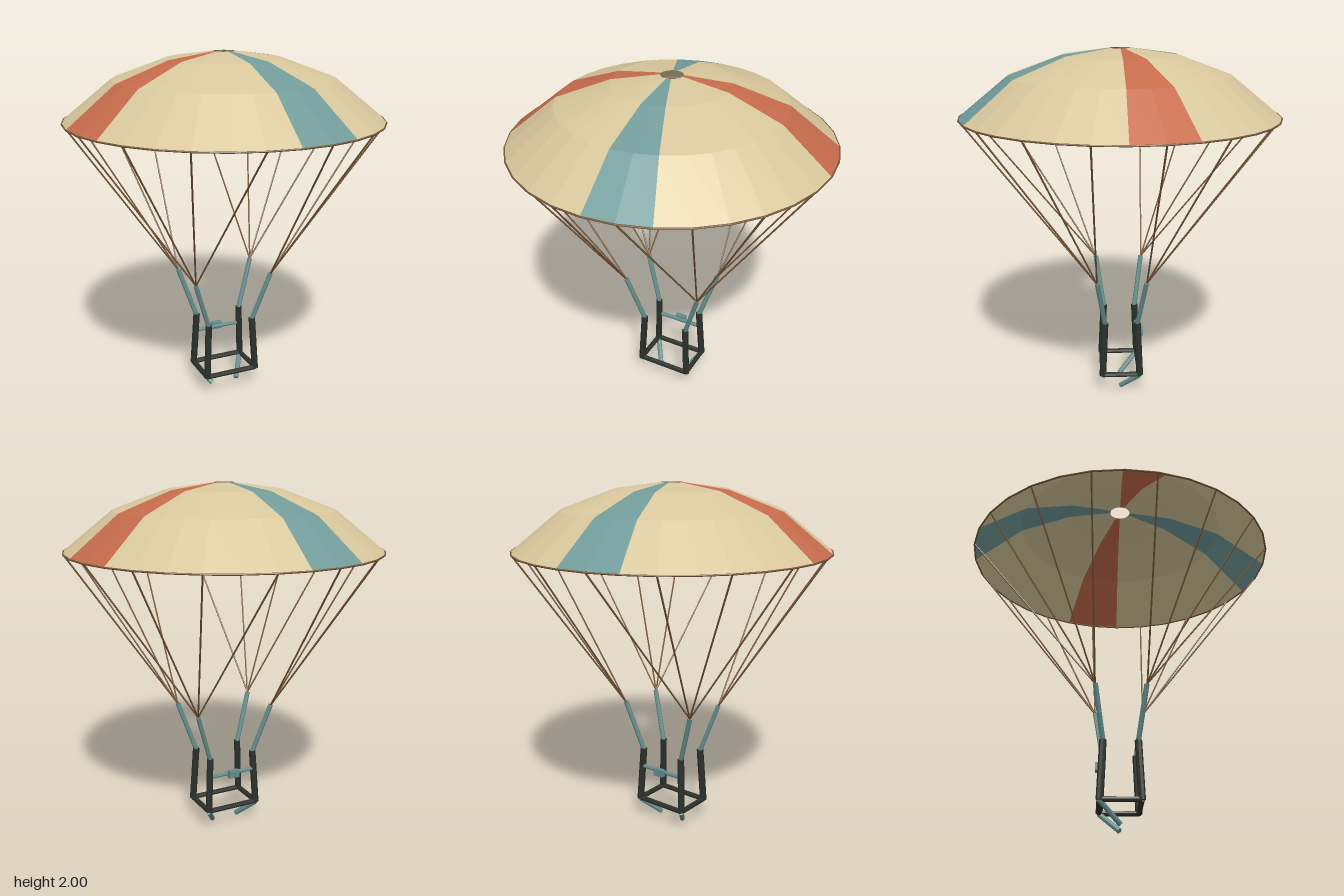
import * as THREE from 'three';

const mat = (name, color, extra = {}) => {
  const m = new THREE.MeshStandardMaterial({ color, flatShading: true, ...extra });
  m.name = name;
  return m;
};

export function createModel() {
  const model = new THREE.Group();
  model.name = 'parachute';

  const open = { side: THREE.DoubleSide };
  const cream = mat('cream cloth', 0xd8c79c, open);
  const teal = mat('teal cloth', 0x719b9a, open);
  const red = mat('red cloth', 0xc66b4c, open);
  const webbing = mat('teal webbing', 0x648c8b);
  const dark = mat('dark harness', 0x2b302a);
  const cord = mat('brown cord', 0x76573a);

  const add = (parent, name, geometry, material) => {
    const mesh = new THREE.Mesh(geometry, material);
    mesh.name = name;
    parent.add(mesh);
    return mesh;
  };
  const group = (name) => {
    const g = new THREE.Group();
    g.name = name;
    model.add(g);
    return g;
  };
  // Straight round bar between two points
  const bar = (parent, name, from, to, radius, material, sides = 8) => {
    const a = new THREE.Vector3(...from), b = new THREE.Vector3(...to);
    const dir = b.clone().sub(a);
    const mesh = add(parent, name, new THREE.CylinderGeometry(radius, radius, dir.length(), sides), material);
    mesh.position.copy(a).add(b).multiplyScalar(0.5);
    mesh.quaternion.setFromUnitVectors(new THREE.Vector3(0, 1, 0), dir.normalize());
  };

  // Canopy: each quarter has one striped gore and a wide cream panel
  const canopy = group('canopy');
  const profile = [[0.88, 1.635], [0.61, 1.853], [0.315, 1.962], [0.06, 1.998]]
    .map(([r, y]) => new THREE.Vector2(r, y));
  const step = Math.PI / 16;
  for (let q = 0; q < 4; q++) {
    const start = q * Math.PI / 2;
    add(canopy, 'stripeGore', new THREE.LatheGeometry(profile, 2, start, 2 * step), q % 2 ? red : teal);
    add(canopy, 'creamGores', new THREE.LatheGeometry(profile, 6, start + 2 * step, 6 * step), cream);
  }
  const hem = add(canopy, 'hemCord', new THREE.TorusGeometry(0.878, 0.005, 6, 32), cord);
  hem.rotation.x = Math.PI / 2;
  hem.position.y = 1.635;

  // Suspension lines: sixteen, gathered in fours at the risers
  const lines = group('suspensionLines');
  for (let i = 0; i < 16; i++) {
    const a = (2 * i + 1) * step;
    const x = Math.sin(a), z = Math.cos(a);
    bar(lines, 'suspensionLine', [0.875 * x, 1.635, 0.875 * z],
      [0.235 * Math.sign(x), 0.73, 0.14 * Math.sign(z)], 0.005, cord, 5);
  }

  // Harness: risers, uprights, seat frame, chest strap and leg straps
  const harness = group('harness');
  for (const sx of [-1, 1]) {
    for (const sz of [-1, 1]) {
      bar(harness, 'riser', [0.235 * sx, 0.73, 0.138 * sz], [0.14 * sx, 0.44, 0.094 * sz], 0.014, webbing);
      bar(harness, 'upright', [0.139 * sx, 0.445, 0.094 * sz], [0.156 * sx, 0.12, 0.109 * sz], 0.02, dark);
    }
    bar(harness, 'seatSideBar', [0.156 * sx, 0.123, -0.109], [0.156 * sx, 0.123, 0.109], 0.015, dark);
    bar(harness, 'seatCrossBar', [-0.156, 0.123, 0.109 * sx], [0.156, 0.123, 0.109 * sx], 0.015, dark);
    bar(harness, 'legStrap', [0.156 * sx, 0.118, -0.109], [0.08 * sx, 0.012, 0], 0.015, webbing);
  }
  bar(harness, 'chestStrap', [-0.145, 0.335, -0.102], [0.145, 0.335, -0.102], 0.012, webbing);
  const buckle = add(harness, 'buckle', new THREE.BoxGeometry(0.064, 0.042, 0.03), webbing);
  buckle.position.set(0, 0.335, -0.12);

  return model;
}
